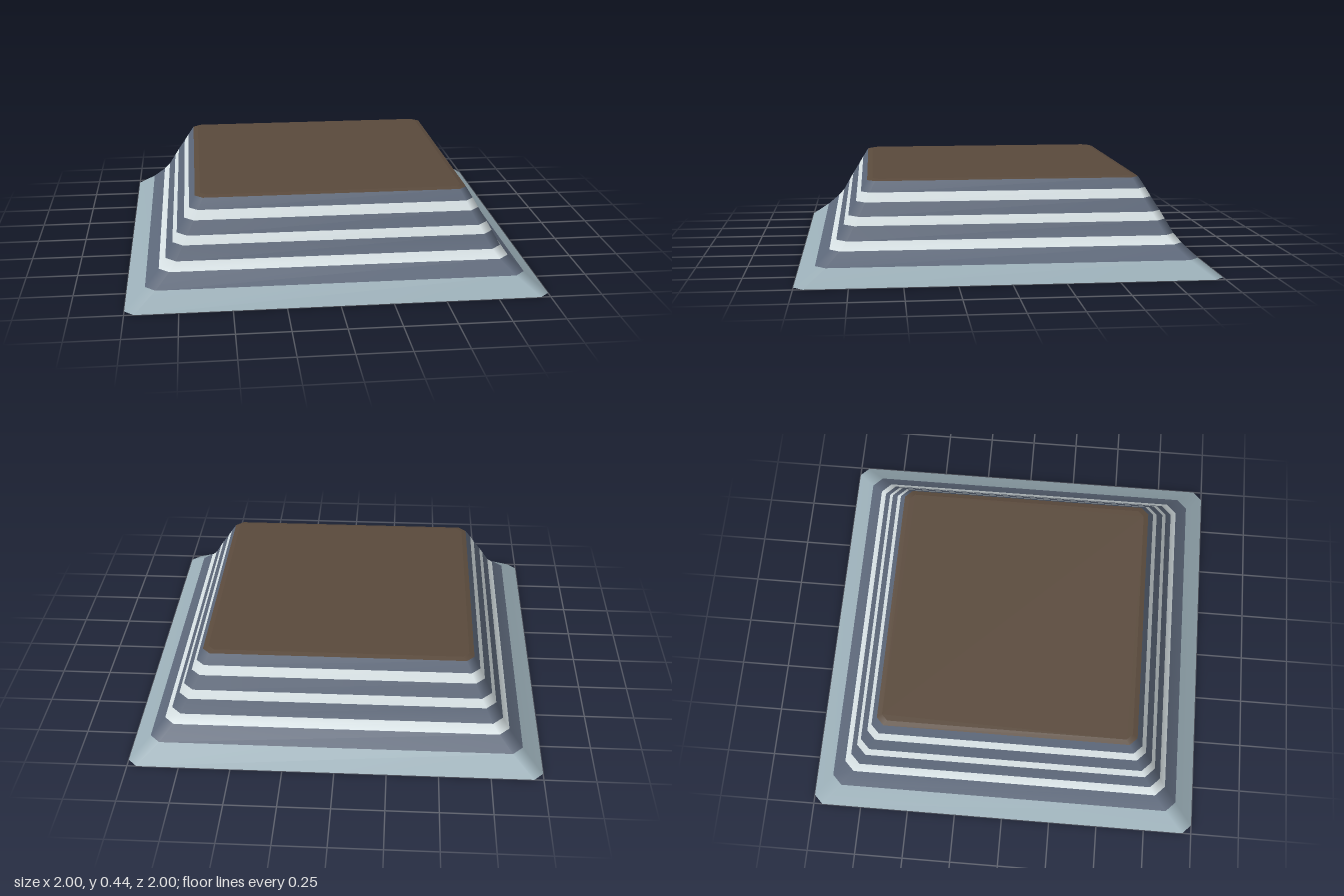
import * as THREE from 'three';

const material = (name, color) => {
  const m = new THREE.MeshStandardMaterial({ color, side: THREE.DoubleSide });
  m.name = name;
  return m;
};

// Square ring with cut corners: half width h, corner cut c, height y
function ring(h, c, y) {
  const points = [];
  let corner = [[h, h - c], [h - c, h]];
  for (let k = 0; k < 4; k++) {
    for (const [x, z] of corner) points.push(x, y, z);
    corner = corner.map(([x, z]) => [-z, x]);
  }
  return points;
}

// Open skin through a stack of [half width, corner cut, height] rings,
// with one material group for each band
function skin(rings, bandMaterials) {
  const geometry = new THREE.BufferGeometry();
  const index = [];
  for (let r = 0; r < rings.length - 1; r++) {
    geometry.addGroup(index.length, 48, bandMaterials[r]);
    for (let i = 0; i < 8; i++) {
      const a = r * 8 + i, b = r * 8 + (i + 1) % 8;
      index.push(b, a, a + 8, b, a + 8, b + 8);
    }
  }
  geometry.setAttribute('position',
    new THREE.Float32BufferAttribute(rings.flatMap(p => ring(...p)), 3));
  geometry.setIndex(index);
  geometry.computeVertexNormals();
  return geometry;
}

export function createModel() {
  const group = new THREE.Group();
  group.name = 'steppedMound';
  const skirtGrey = material('pale blue grey', 0x9bafb8);
  const slate = material('slate', 0x5d687a);
  const white = material('off white', 0xdbe5e8);
  const brown = material('earth brown', 0x5a4a3c);

  // Flared skirt and striped sloping walls, open underneath
  const profile = [
    [1.0, 0.045, 0], [0.905, 0.05, 0.075], [0.84, 0.05, 0.138], [0.808, 0.05, 0.178],
    [0.773, 0.05, 0.243], [0.751, 0.05, 0.283], [0.714, 0.045, 0.345],
    [0.69, 0.042, 0.388], [0.66, 0.038, 0.438],
  ];
  const walls = new THREE.Mesh(
    skin(profile, [0, 1, 2, 1, 2, 1, 2, 1]), [skirtGrey, slate, white]);
  walls.name = 'stripedWalls';
  group.add(walls);

  // Thin bevel around the top
  const rim = new THREE.Mesh(skin([[0.66, 0.038, 0.438], [0.635, 0.03, 0.445]], [0]), [brown]);
  rim.name = 'topRim';
  group.add(rim);

  // Flat top
  const outline = ring(0.635, 0.03, 0);
  const shape = new THREE.Shape();
  for (let i = 0; i < 24; i += 3) {
    if (i === 0) shape.moveTo(outline[i], outline[i + 2]);
    else shape.lineTo(outline[i], outline[i + 2]);
  }
  const top = new THREE.Mesh(new THREE.ShapeGeometry(shape).rotateX(-Math.PI / 2), brown);
  top.position.y = 0.445;
  top.name = 'flatTop';
  group.add(top);

  return group;
}
